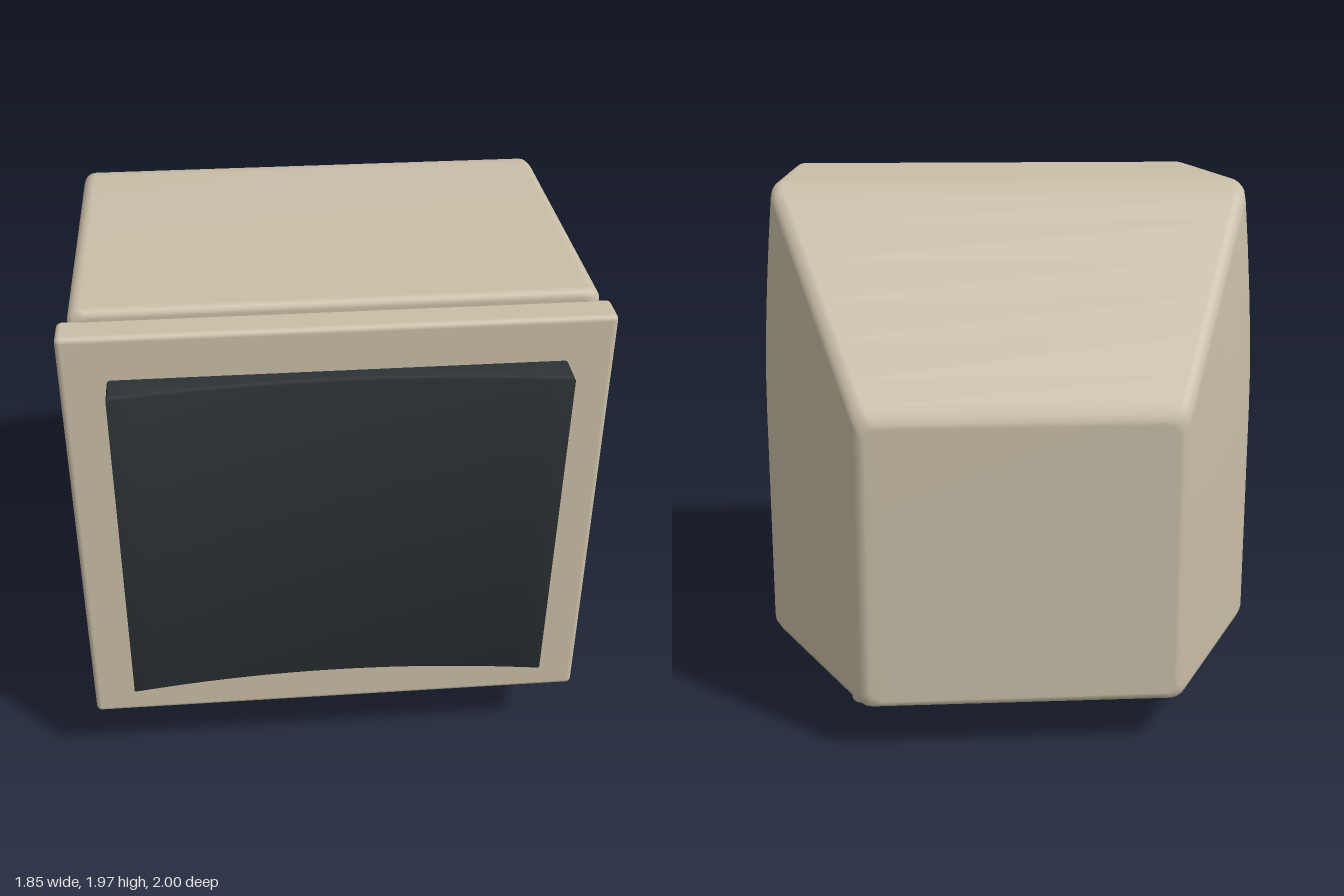
import * as THREE from 'three';
import { toCreasedNormals } from 'three/addons/utils/BufferGeometryUtils.js';
import { RoundedBoxGeometry } from 'three/addons/geometries/RoundedBoxGeometry.js';

const beige = new THREE.MeshStandardMaterial({ color: 0xc9bea7 });
const dark = new THREE.MeshStandardMaterial({ color: 0x2b3134 });

function add(group, name, geometry, material) {
  const mesh = new THREE.Mesh(geometry, material);
  mesh.name = name;
  group.add(mesh);
  return mesh;
}

// One closed outline of the housing: rounded corners, sides leaning in near the top
function housingRing({ z, y0, y1, w, lean, inset = 0 }) {
  const r = 0.045, half = [];
  y0 += inset; y1 -= inset; w -= inset;
  for (let k = 0; k <= 4; k++) {
    const a = (k / 4 - 1) * Math.PI / 2;
    half.push([w - r + r * Math.cos(a), y0 + r + r * Math.sin(a)]);
  }
  for (let k = 1; k < 10; k++) {
    const t = k / 10, s = Math.max(0, (t - 0.55) / 0.45);
    half.push([w - lean * Math.pow(s, 1.5), y0 + r + (y1 - y0 - 2 * r) * t]);
  }
  for (let k = 0; k <= 4; k++) {
    const a = k / 4 * Math.PI / 2;
    half.push([w - lean - r + r * Math.cos(a), y1 - r + r * Math.sin(a)]);
  }
  const mirrored = half.slice().reverse().map(([x, y]) => [-x, y]);
  return [...half, ...mirrored].map(([x, y]) => [x, y, z]);
}

// Skin over a list of equal rings, ordered front to back, with both ends closed
function loft(rings) {
  const n = rings[0].length, index = [], pos = rings.flat(2);
  for (let i = 0; i < rings.length - 1; i++) {
    for (let j = 0; j < n; j++) {
      const a = i * n + j, b = i * n + (j + 1) % n, c = a + n, d = b + n;
      index.push(a, c, b, b, c, d);
    }
  }
  const last = (rings.length - 1) * n;
  for (let j = 1; j < n - 1; j++) {
    index.push(0, j, j + 1);
    index.push(last, last + j + 1, last + j);
  }
  const g = new THREE.BufferGeometry();
  g.setAttribute('position', new THREE.Float32BufferAttribute(pos, 3));
  g.setIndex(index);
  g.computeVertexNormals();
  return g;
}

function housingGeometry() {
  const sections = [];
  const front = { y0: 0.25, y1: 1.97, w: 0.925, lean: 0.045 };
  // rounded front rim
  for (let k = 0; k <= 4; k++) {
    const a = k / 4 * Math.PI / 2;
    sections.push({ ...front, z: 0.755 + 0.03 * Math.cos(a), inset: 0.03 * (1 - Math.sin(a)) });
  }
  // straight body, then the softened shoulder
  sections.push({ ...front, z: 0.2 }, { ...front, z: -0.3 });
  sections.push({ ...front, z: -0.36, y1: 1.96 });
  sections.push({ ...front, z: -0.4, y1: 1.938, w: 0.92 });
  // tapering rear
  const taper = z => {
    const t = (-0.4 - z) / 0.6;
    return { z, y0: 0.25 - 0.08 * t, y1: 1.955 - 0.735 * t, w: 0.925 - 0.355 * t, lean: 0.045 * (1 - t) };
  };
  for (const z of [-0.44, -0.5, -0.6, -0.7, -0.8, -0.9]) sections.push(taper(z));
  // rounded rear rim
  for (let k = 0; k <= 4; k++) {
    const a = k / 4 * Math.PI / 2;
    sections.push({ ...taper(-0.965 - 0.035 * Math.sin(a)), inset: 0.03 * (1 - Math.cos(a)) });
  }
  return loft(sections.map(housingRing));
}

// Dark block with a hollow, slightly tilted front face
function screenGeometry() {
  const b = 0.012, w = 0.76 - b, y0 = 0.46, y1 = 1.77, back = 0.85, edge = 0.988, dip = 0.055;
  const plan = new THREE.Shape();
  plan.moveTo(-w, -back);
  for (let i = 0; i <= 24; i++) {
    const u = i / 12 - 1;
    plan.lineTo(w * u, -(edge - dip * (1 - u * u)));
  }
  plan.lineTo(w, -back);
  const g = new THREE.ExtrudeGeometry(plan, {
    depth: y1 - y0 - 2 * b, bevelThickness: b, bevelSize: b, bevelSegments: 2
  });
  g.rotateX(-Math.PI / 2).translate(0, y0 + b, 0);
  const p = g.attributes.position;
  for (let i = 0; i < p.count; i++) {
    if (p.getZ(i) > 0.9) p.setZ(i, p.getZ(i) - 0.026 * (y1 - p.getY(i)));
  }
  return toCreasedNormals(g, 0.6);
}

// Foot plate, a little narrower at the front, with rounded corners
function footGeometry() {
  const b = 0.018, r = 0.03, corners = [[-0.57, 0.49], [0.57, 0.49], [0.625, -0.59], [-0.625, -0.59]]
    .map(([x, z]) => new THREE.Vector2(x - Math.sign(x) * b, -(z - Math.sign(z) * b)));
  const plan = new THREE.Shape();
  corners.forEach((c, i) => {
    const prev = corners[(i + 3) % 4], next = corners[(i + 1) % 4];
    const p = c.clone().add(prev.clone().sub(c).setLength(r));
    const q = c.clone().add(next.clone().sub(c).setLength(r));
    if (i === 0) plan.moveTo(p.x, p.y); else plan.lineTo(p.x, p.y);
    plan.quadraticCurveTo(c.x, c.y, q.x, q.y);
  });
  plan.closePath();
  const g = new THREE.ExtrudeGeometry(plan, {
    depth: 0.165 - 2 * b, bevelThickness: b, bevelSize: b, bevelSegments: 3, curveSegments: 5
  });
  g.rotateX(-Math.PI / 2).translate(0, b, 0);
  return toCreasedNormals(g, 0.7);
}

export function createModel() {
  const monitor = new THREE.Group();
  monitor.name = 'monitor';

  add(monitor, 'housing', housingGeometry(), beige);
  add(monitor, 'frontBezel', new RoundedBoxGeometry(1.83, 1.63, 0.125, 3, 0.02), beige)
    .position.set(0, 1.115, 0.828);
  add(monitor, 'screen', screenGeometry(), dark);
  add(monitor, 'swivelNeck', new THREE.CylinderGeometry(0.248, 0.248, 0.13, 40), beige)
    .position.set(0, 0.215, -0.047);
  add(monitor, 'foot', footGeometry(), beige);

  return monitor;
}
